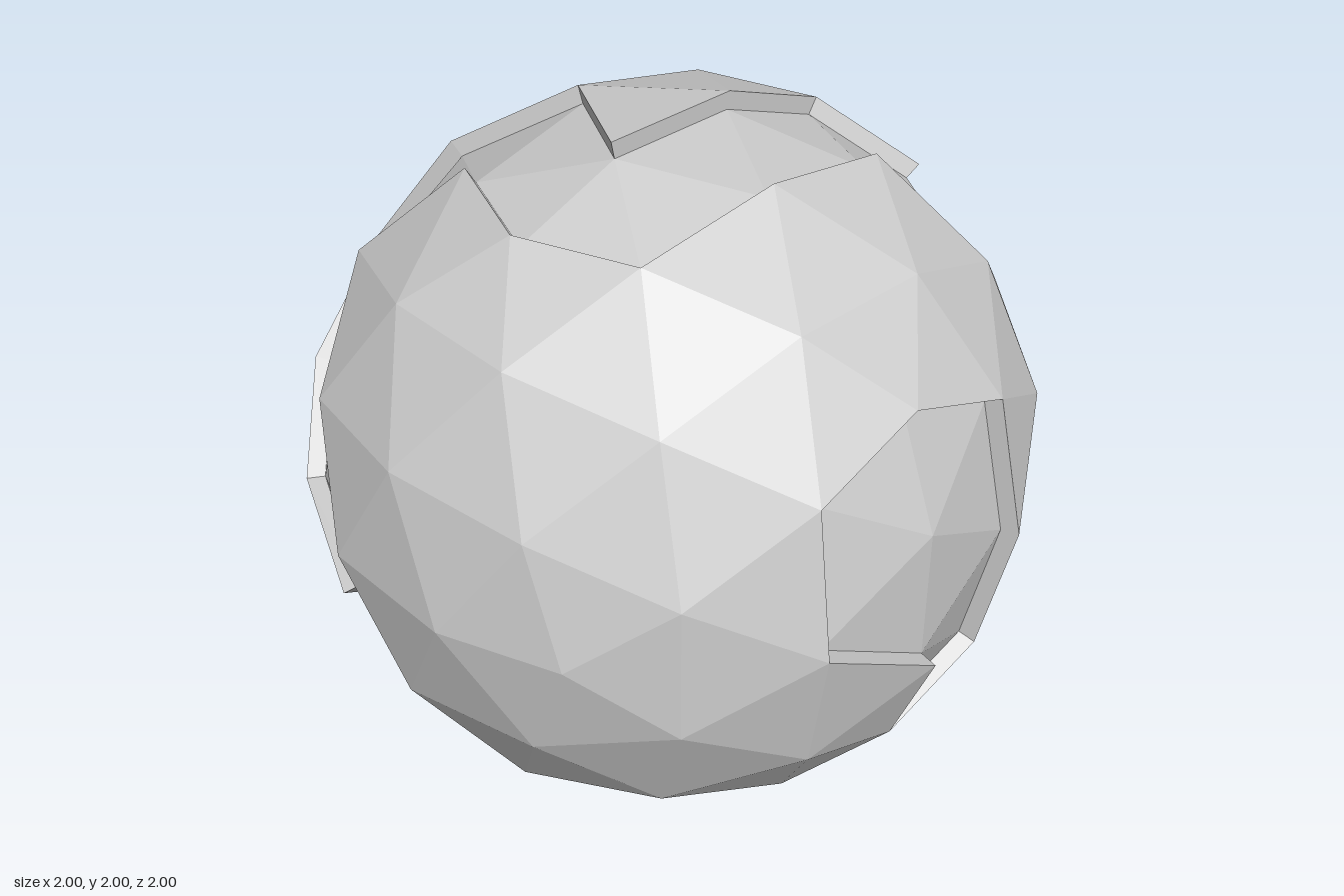
import * as THREE from 'three';
import { mergeVertices } from 'three/addons/utils/BufferGeometryUtils.js';

const OUTER = 1.021, INNER = 0.97;

// Corners of each rim between raised plates and recesses, as rough directions
const rearPlate = [[-.2, 1, 0], [.5, .9, 0], [.7, .7, .2], [.7, .7, -.2], [.9, 0, -.5], [.7, -.2, -.7],
  [.4, -.9, -.3], [0, -1, -.4], [-.2, -.7, -.7], [-.9, -.3, -.4], [-.9, 0, -.5], [-.3, .4, -.9], [0, 1, -.4]];
const frontPlate = [[-.2, -1, 0], [.5, -.9, 0], [.9, -.3, -.4], [1, .4, 0], [.9, .3, .4], [.6, .6, .6],
  [.4, .9, .3], [0, 1, .4], [-.4, .9, .3], [-.5, .9, 0], [-.4, .9, -.3], [-.6, .6, -.6], [-.9, .3, -.4],
  [-1, -.4, 0], [-.4, -.9, -.3]];
const frontPit = [[0, .5, .9], [.3, .4, .9], [.4, 0, 1], [.3, -.4, .9], [0, -.5, .9], [0, -.2, 1],
  [-.4, 0, 1], [-.3, .4, .9]];
const rearPit = [[0, -.2, -1], [.3, -.4, -.9], [0, -.5, -.9], [-.3, -.4, -.9]];

function makeMesh(name, points) {
  const geometry = new THREE.BufferGeometry().setFromPoints(points);
  geometry.computeVertexNormals();
  const mesh = new THREE.Mesh(geometry, new THREE.MeshStandardMaterial({ color: 0xcccccc, flatShading: true }));
  mesh.name = name;
  mesh.position.y = 1;
  return mesh;
}

export function createModel() {
  // Shared-vertex geodesic sphere with 180 faces
  let sphere = new THREE.IcosahedronGeometry(1, 2);
  sphere.deleteAttribute('normal');
  sphere.deleteAttribute('uv');
  sphere = mergeVertices(sphere, 1e-3);
  const verts = [];
  for (let i = 0; i < sphere.attributes.position.count; i++) {
    verts.push(new THREE.Vector3().fromBufferAttribute(sphere.attributes.position, i).normalize());
  }
  const faces = [];
  for (let i = 0; i < sphere.index.count; i += 3) faces.push([0, 1, 2].map(k => sphere.index.getX(i + k)));

  // Faces beside each edge, and vertices beside each vertex
  const key = (a, b) => Math.min(a, b) + '_' + Math.max(a, b);
  const edgesOf = f => f.map((a, k) => [a, f[(k + 1) % 3]]);
  const edgeFaces = {};
  const neighbours = verts.map(() => []);
  faces.forEach((f, i) => edgesOf(f).forEach(([a, b]) => {
    (edgeFaces[key(a, b)] ??= []).push(i);
    neighbours[a].push(b);
  }));

  // Walk each rim along the mesh edges from corner to corner
  const closest = (ids, d) => ids.reduce((best, i) => (verts[i].dot(d) > verts[best].dot(d) ? i : best));
  const nearest = p => closest([...verts.keys()], new THREE.Vector3(...p));
  const rimEdges = new Set();
  for (const rim of [rearPlate, frontPlate, frontPit, rearPit]) {
    const corners = rim.map(nearest);
    corners.forEach((start, k) => {
      const end = corners[(k + 1) % corners.length];
      for (let a = start; a !== end;) {
        const b = closest(neighbours[a], verts[end]);
        rimEdges.add(key(a, b));
        a = b;
      }
    });
  }

  // Spread from a raised face; crossing a rim switches the level
  const recessed = new Array(faces.length);
  const seedVertex = nearest([0, .2, -1]);
  const queue = [faces.findIndex(f => f.includes(seedVertex))];
  recessed[queue[0]] = false;
  while (queue.length) {
    const i = queue.pop();
    for (const [a, b] of edgesOf(faces[i])) {
      const k = key(a, b);
      for (const j of edgeFaces[k]) {
        if (recessed[j] !== undefined) continue;
        recessed[j] = recessed[i] !== rimEdges.has(k);
        queue.push(j);
      }
    }
  }

  // Plates, recess floors and the walls joining them
  const plates = [], floors = [], walls = [];
  const at = (i, r) => verts[i].clone().multiplyScalar(r);
  faces.forEach((f, i) => {
    const low = recessed[i];
    f.forEach(v => (low ? floors : plates).push(at(v, low ? INNER : OUTER)));
    if (!low) return;
    for (const [a, b] of edgesOf(f)) {
      if (!rimEdges.has(key(a, b))) continue;
      walls.push(at(b, INNER), at(a, INNER), at(a, OUTER), at(b, INNER), at(a, OUTER), at(b, OUTER));
    }
  });

  const group = new THREE.Group();
  group.name = 'panelledSphere';
  group.add(makeMesh('raisedPlates', plates), makeMesh('recessFloors', floors), makeMesh('recessWalls', walls));
  return group;
}
